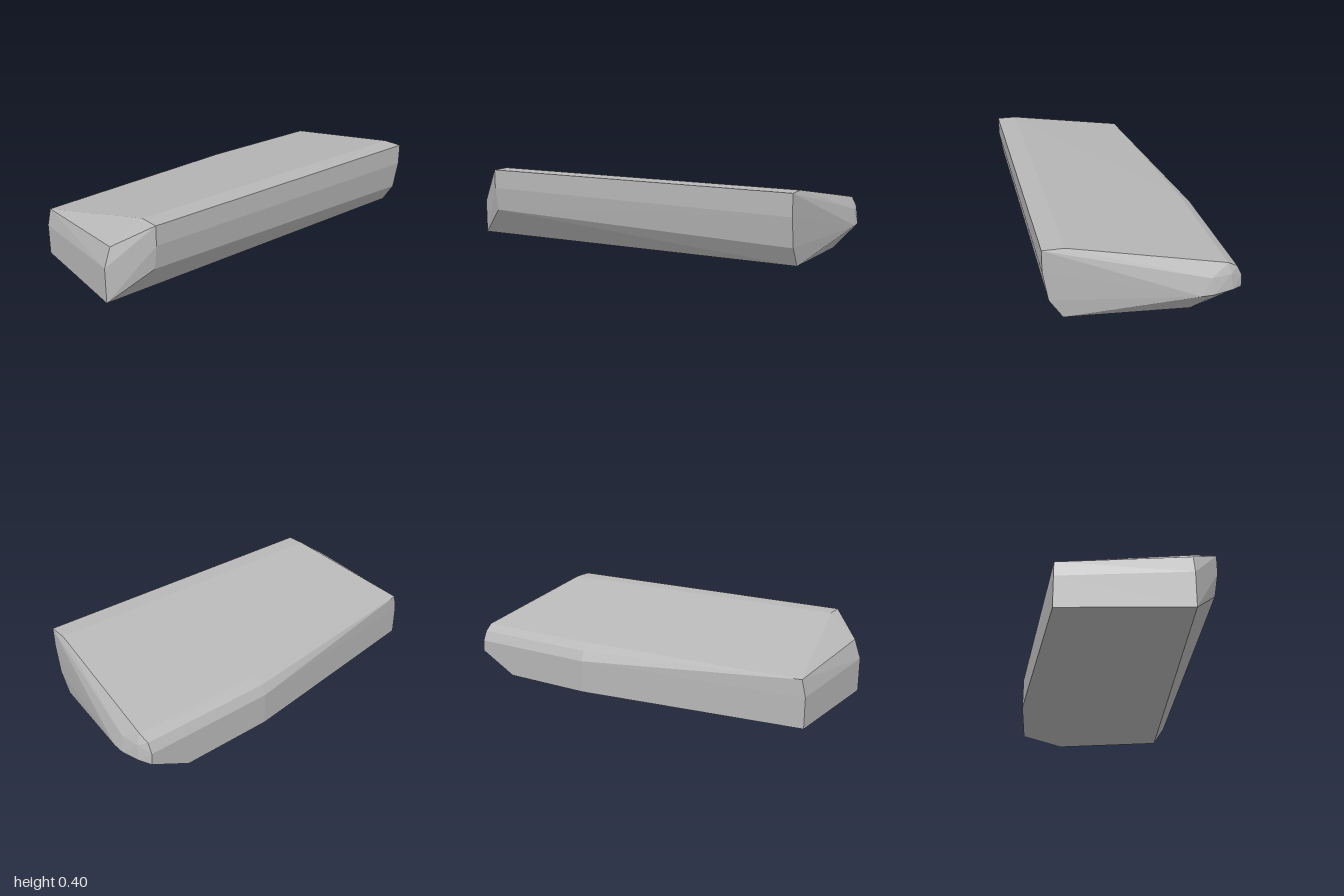
import * as THREE from 'three';
import { ConvexGeometry } from 'three/addons/geometries/ConvexGeometry.js';

export function createModel() {
  const model = new THREE.Group();
  const stone = new THREE.MeshStandardMaterial({ color: 0xb8b8b8 });
  stone.name = 'stone grey';

  // Corner points of each side of the faceted slab
  const front = [
    [-0.31, 0.01, 0.95], [-0.31, 0.17, 0.95], [-0.31, 0.255, 0.93],
    [0.32, 0.01, 1.0], [0.32, 0.19, 1.0], [0.32, 0.29, 0.965],
  ];
  const straightSide = [
    [0.36, 0.4, 0.81], [0.465, 0.4, 0.81], [0.465, 0.3, 0.81], [0.445, 0.175, 0.81],
    [0.36, 0.4, -0.89], [0.465, 0.4, -0.89], [0.465, 0.29, -0.89], [0.44, 0.14, -0.89], [0.375, 0.04, -0.89],
  ];
  const bentSide = [
    [-0.465, 0.008, -0.24], [-0.465, 0.18, -0.24], [-0.44, 0.23, -0.24], [-0.39, 0.26, -0.24],
    [-0.465, 0.008, -0.73], [-0.465, 0.12, -0.94], [-0.465, 0.18, -0.935], [-0.44, 0.23, -0.935],
  ];
  const back = [
    [-0.39, 0.26, -0.945], [-0.41, 0.13, -0.975], [-0.4, 0.21, -0.967],
    [-0.31, 0.13, -1.0], [-0.25, 0.13, -1.0], [-0.3, 0.21, -0.983], [-0.235, 0, -0.89],
  ];

  const corners = [...front, ...straightSide, ...bentSide, ...back]
    .map((p) => new THREE.Vector3(...p));
  const slab = new THREE.Mesh(new ConvexGeometry(corners), stone);
  slab.name = 'stoneSlab';
  model.add(slab);
  return model;
}
